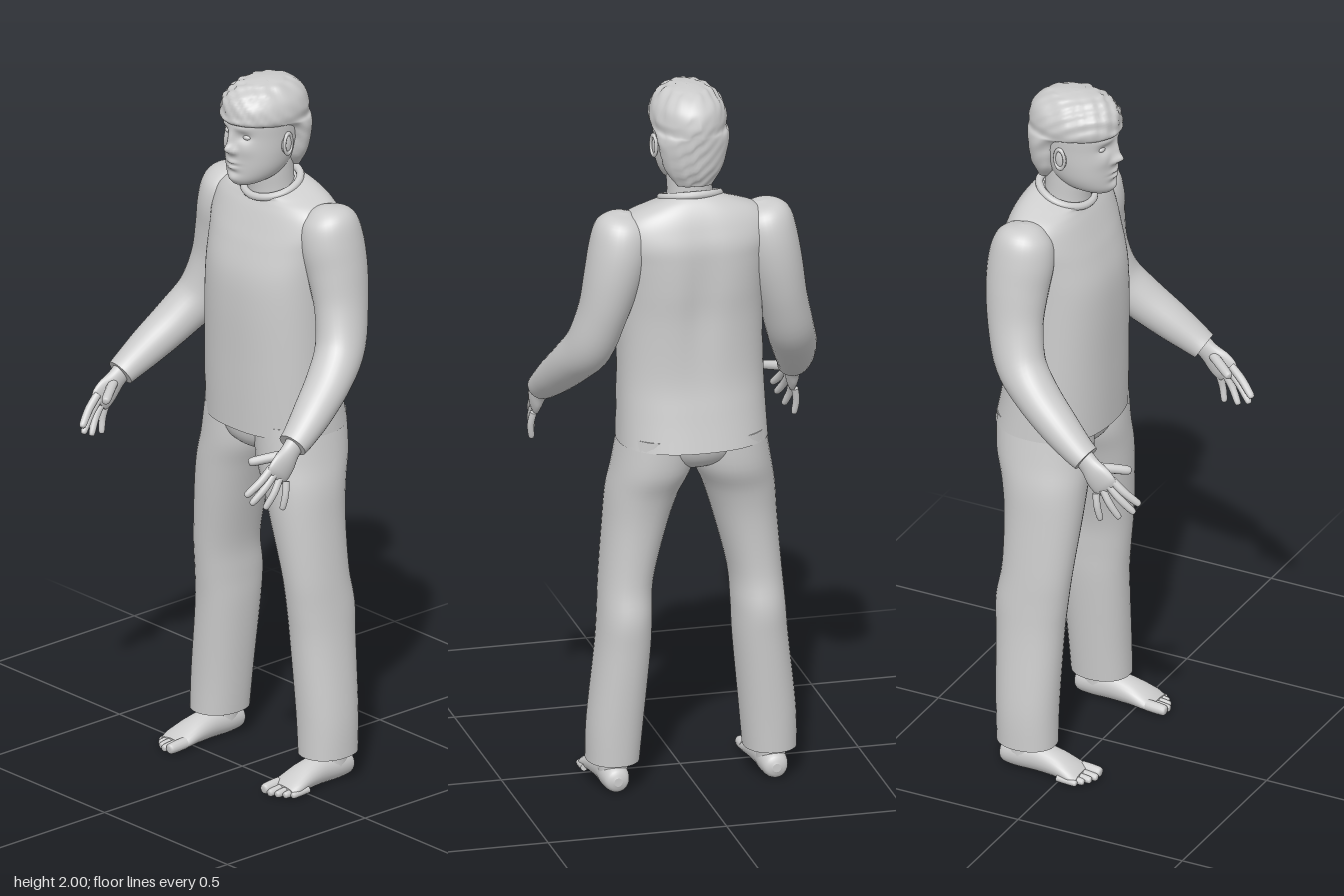
import * as THREE from 'three';

const clay = new THREE.MeshStandardMaterial({ color: 0xcccccc });
clay.name = 'clay grey';

// Smooth interpolation through rows of numbers
function smoothRows(rows, steps) {
  const out = [], last = rows.length - 1;
  for (let k = 0; k <= last * steps; k++) {
    const i = Math.min(Math.floor(k / steps), last - 1), t = k / steps - i;
    const a = rows[Math.max(i - 1, 0)], b = rows[i], c = rows[i + 1], d = rows[Math.min(i + 2, last)];
    out.push(b.map((v, n) => v + 0.5 * t * (c[n] - a[n] + t * (2 * a[n] - 5 * v + 4 * c[n] - d[n]
      + t * (3 * (v - c[n]) + d[n] - a[n])))));
  }
  return out;
}

// Skin over cross-sections [x, y, z, half width, half depth, tilt]; axis fixes the section plane
function skin(name, rows, { axis = null, sides = 24, steps = 5, power = 2, side = 1, warp = null } = {}) {
  const rings = smoothRows(rows.map(r => [r[0] * side, r[1], r[2], r[3], r[4], r[5] || 0]), steps);
  const pos = [], index = [];
  const at = r => new THREE.Vector3(r[0], r[1], r[2]);
  const round = v => Math.sign(v) * Math.abs(v) ** (2 / power);
  rings.forEach((r, i) => {
    const T = axis ? axis.clone()
      : at(rings[Math.min(i + 1, rings.length - 1)]).sub(at(rings[Math.max(i - 1, 0)])).normalize();
    const U = new THREE.Vector3(1, 0, 0).addScaledVector(T, -T.x).normalize();
    const V = T.clone().cross(U);
    for (let j = 0; j < sides; j++) {
      const t = j / sides * Math.PI * 2;
      const p = at(r).addScaledVector(U, round(Math.cos(t)) * r[3]).addScaledVector(V, round(Math.sin(t)) * r[4]);
      p.y -= (p.z - r[2]) * r[5];
      if (warp) warp(p);
      pos.push(p.x, p.y, p.z);
      if (i) {
        const a = (i - 1) * sides + j, b = (i - 1) * sides + (j + 1) % sides;
        index.push(a, b, b + sides, a, b + sides, a + sides);
      }
    }
  });
  // Flat end caps with their own vertices
  for (const i of [0, rings.length - 1]) {
    const base = pos.length / 3;
    for (let j = 0; j < sides; j++) pos.push(...pos.slice((i * sides + j) * 3, (i * sides + j) * 3 + 3));
    for (let j = 1; j < sides - 1; j++) {
      if (i) index.push(base, base + j, base + j + 1);
      else index.push(base, base + j + 1, base + j);
    }
  }
  const g = new THREE.BufferGeometry();
  g.setAttribute('position', new THREE.Float32BufferAttribute(pos, 3));
  g.setIndex(index);
  g.computeVertexNormals();
  const mesh = new THREE.Mesh(g, clay);
  mesh.name = name;
  return mesh;
}

// Finger or toe with a rounded tip
function digit(name, a, b, c, r, side) {
  const tip = c.map((v, i) => v + (v - b[i]) * 0.16);
  return skin(name, [[...a, r, r], [...b, r, r], [...c, r * 0.85, r * 0.85], [...tip, r * 0.2, r * 0.2]],
    { side, sides: 12, steps: 4 });
}

function ball(name, x, y, z, sx, sy, sz) {
  const m = new THREE.Mesh(new THREE.SphereGeometry(1, 20, 14), clay);
  m.position.set(x, y, z);
  m.scale.set(sx, sy, sz);
  m.name = name;
  return m;
}

const UP = new THREE.Vector3(0, 1, 0), DOWN = new THREE.Vector3(0, -1, 0), FRONT = new THREE.Vector3(0, 0, 1);
const bell = (x, s) => Math.exp(-x * x / (s * s));
// Horizontal section from its back and front z
const slab = (y, back, front, hw, tilt = 0, x = 0) => [x, y, (back + front) / 2, hw, (front - back) / 2, tilt];

function makeHead() {
  const head = new THREE.Group();
  head.name = 'head';
  // Face relief: [x, y, push, width, height]
  const relief = [[0, 1.818, 0.022, 0.014, 0.014], [0, 1.845, 0.013, 0.011, 0.025], [0.016, 1.812, 0.007, 0.008, 0.008],
    [0.036, 1.856, -0.011, 0.018, 0.013], [0.034, 1.882, 0.004, 0.024, 0.008], [0.045, 1.82, 0.004, 0.02, 0.02],
    [0, 1.779, 0.007, 0.02, 0.006], [0, 1.763, 0.007, 0.017, 0.006], [0, 1.771, -0.004, 0.022, 0.003],
    [0, 1.748, -0.004, 0.022, 0.007], [0, 1.729, 0.005, 0.02, 0.012]];
  head.add(skin('face', [
    slab(1.706, -0.03, 0.012, 0.015), slab(1.712, -0.07, 0.026, 0.036), slab(1.73, -0.12, 0.036, 0.06),
    slab(1.76, -0.15, 0.038, 0.077), slab(1.8, -0.17, 0.039, 0.086), slab(1.85, -0.19, 0.039, 0.091),
    slab(1.9, -0.2, 0.04, 0.094), slab(1.94, -0.19, 0.028, 0.084), slab(1.97, -0.14, -0.02, 0.05),
  ], { axis: UP, sides: 96, steps: 9, warp: p => {
    if (p.z > -0.03) for (const [x, y, d, sx, sy] of relief)
      p.z += d * bell(Math.abs(p.x) - x, sx) * bell(p.y - y, sy);
  } }));
  // Short hair with a raised fringe and uneven surface
  head.add(skin('hair', [
    slab(1.735, -0.185, -0.13, 0.05), slab(1.78, -0.203, -0.095, 0.08), slab(1.84, -0.211, -0.085, 0.095),
    slab(1.875, -0.214, -0.05, 0.1), slab(1.89, -0.215, 0.042, 0.102), slab(1.915, -0.214, 0.049, 0.104),
    slab(1.95, -0.203, 0.042, 0.094), slab(1.98, -0.172, 0.012, 0.068), slab(1.993, -0.135, -0.025, 0.04),
    slab(1.998, -0.09, -0.07, 0.008),
  ], { axis: UP, sides: 64, steps: 6, warp: p => {
    const n = 0.0025 * Math.sin(p.x * 130 + p.y * 60) * Math.sin(p.z * 110 - p.y * 90);
    p.x += Math.sign(p.x) * n;
    p.z += n;
    p.y += p.y < 1.99 ? n : 0;
  } }));
  // Loose strands lying over the crown
  const strands = new THREE.Group();
  strands.name = 'hairStrands';
  let seed = 7;
  const rand = () => (seed = (seed * 16807) % 2147483647) / 2147483647;
  const onHair = (a, e) => [0.1 * Math.cos(e) * Math.cos(a), 1.89 + 0.107 * Math.sin(e),
    -0.083 + 0.126 * Math.cos(e) * Math.sin(a)];
  for (let i = 0; i < 45; i++) {
    const a = rand() * 6.28, e = 0.5 + rand() * 0.85, turn = rand() * 0.5 - 0.25;
    strands.add(skin('strand', [[...onHair(a, e), 0.002, 0.002], [...onHair(a + turn / 2, e - 0.1), 0.004, 0.004],
      [...onHair(a + turn, e - 0.22), 0.001, 0.001]], { sides: 6, steps: 2 }));
  }
  head.add(strands);
  for (const s of [1, -1]) {
    head.add(ball('eye', s * 0.036, 1.855, 0.015, 0.014, 0.008, 0.01));
    head.add(ball('earLobe', s * 0.09, 1.825, -0.08, 0.008, 0.027, 0.017));
    const rim = new THREE.Mesh(new THREE.TorusGeometry(0.022, 0.005, 10, 28), clay);
    rim.name = 'earRim';
    rim.position.set(s * 0.095, 1.828, -0.082);
    rim.rotation.y = Math.PI / 2 + s * 0.2;
    rim.scale.set(0.75, 1.3, 1);
    head.add(rim);
  }
  head.add(skin('neck', [[0, 1.62, -0.112, 0.07, 0.07], [0, 1.68, -0.105, 0.063, 0.066], [0, 1.73, -0.1, 0.062, 0.068],
    [0, 1.78, -0.1, 0.062, 0.07]], { axis: UP, sides: 32 }));
  return head;
}

function makeHand(s) {
  const hand = new THREE.Group();
  hand.name = s > 0 ? 'leftHand' : 'rightHand';
  hand.add(skin('palm', [[0.35, 1.095, 0.11, 0.026, 0.03], [0.354, 1.065, 0.142, 0.021, 0.031],
    [0.358, 1.04, 0.168, 0.018, 0.041], [0.359, 1.018, 0.19, 0.014, 0.042], [0.358, 1.006, 0.202, 0.007, 0.034]], { side: s }));
  const fingers = [[[0.354, 1.037, 0.21], [0.335, 0.972, 0.28]], [[0.358, 1.02, 0.202], [0.343, 0.948, 0.268]],
    [[0.362, 1.003, 0.187], [0.354, 0.928, 0.23]], [[0.366, 0.99, 0.168], [0.368, 0.917, 0.182]]];
  fingers.forEach(([a, b], i) => {
    const mid = a.map((v, n) => (v + b[n]) / 2 + (n ? 0 : 0.005));
    hand.add(digit('finger', a, mid, b, 0.0115 - i * 0.0006, s));
  });
  hand.add(digit('thumb', [0.35, 1.06, 0.155], [0.318, 1.05, 0.2], [0.295, 1.042, 0.232], 0.0135, s));
  return hand;
}

function makeFoot(s) {
  const foot = new THREE.Group();
  foot.name = s > 0 ? 'leftFoot' : 'rightFoot';
  const ground = p => { p.y = Math.max(p.y, 0); };
  foot.add(skin('sole', [[0.222, 0.035, -0.192, 0.012, 0.012], [0.222, 0.036, -0.18, 0.032, 0.032],
    [0.222, 0.04, -0.14, 0.04, 0.042], [0.222, 0.04, -0.08, 0.04, 0.042], [0.223, 0.033, -0.02, 0.045, 0.035],
    [0.225, 0.021, 0.03, 0.05, 0.023], [0.224, 0.015, 0.055, 0.044, 0.012]], { axis: FRONT, side: s, warp: ground }));
  foot.add(skin('ankle', [[0.22, 0.14, -0.13, 0.042, 0.046], [0.221, 0.09, -0.128, 0.04, 0.046],
    [0.222, 0.04, -0.125, 0.04, 0.052]], { axis: DOWN, side: s }));
  [[0.192, 0.092, 0.016], [0.215, 0.092, 0.0115], [0.235, 0.083, 0.011], [0.253, 0.07, 0.0105], [0.268, 0.055, 0.01]]
    .forEach(([x, z, r]) => foot.add(digit('toe', [x, r + 0.004, z - 0.055], [x, r + 0.002, z - 0.025], [x, r, z], r, s)));
  return foot;
}

export function createModel() {
  const man = new THREE.Group();
  man.name = 'standingMan';
  man.add(makeHead());

  // Long-sleeved shirt with a hollow along the spine
  man.add(skin('shirtBody', [
    slab(1.0, -0.285, 0.038, 0.207), slab(1.1, -0.265, 0.04, 0.203), slab(1.2, -0.25, 0.041, 0.2),
    slab(1.35, -0.25, 0.042, 0.198), slab(1.45, -0.256, 0.035, 0.2), slab(1.53, -0.256, 0.012, 0.208),
    slab(1.58, -0.252, -0.008, 0.217), slab(1.625, -0.238, -0.028, 0.21), slab(1.655, -0.222, -0.04, 0.18, 0.08),
    slab(1.675, -0.203, -0.044, 0.13, 0.2), slab(1.685, -0.184, -0.035, 0.088, 0.3),
  ], { axis: UP, sides: 64, steps: 6, power: 2.35, warp: p => {
    if (p.z < -0.15) p.z += 0.016 * bell(p.x, 0.045) * bell(p.y - 1.42, 0.17);
  } }));
  const neckline = [];
  for (let i = 0; i < 24; i++) {
    const t = i / 24 * Math.PI * 2, z = Math.sin(t) * 0.073;
    neckline.push(new THREE.Vector3(Math.cos(t) * 0.08, 1.686 - z * 0.34, -0.109 + z));
  }
  const collar = new THREE.Mesh(
    new THREE.TubeGeometry(new THREE.CatmullRomCurve3(neckline, true), 64, 0.011, 10, true), clay);
  collar.name = 'collar';
  man.add(collar);

  // Trouser seat joining the legs
  man.add(skin('trouserSeat', [slab(1.04, -0.255, 0.015, 0.195), slab(1.0, -0.262, 0.018, 0.2),
    slab(0.96, -0.245, 0.008, 0.15), slab(0.935, -0.21, -0.02, 0.085), slab(0.915, -0.16, -0.07, 0.03)],
    { axis: UP.clone().negate(), sides: 40 }));

  for (const s of [1, -1]) {
    const tag = s > 0 ? 'left' : 'right';
    man.add(skin(tag + 'TrouserLeg', [
      slab(1.03, -0.26, 0.018, 0.1, 0, 0.1), slab(0.93, -0.253, 0.018, 0.107, 0, 0.111), slab(0.85, -0.226, 0.016, 0.098, 0, 0.135),
      slab(0.75, -0.21, 0.01, 0.086, 0, 0.155), slab(0.6, -0.206, -0.004, 0.073, 0, 0.18), slab(0.5, -0.221, -0.015, 0.073, 0, 0.187),
      slab(0.4, -0.217, -0.024, 0.075, 0, 0.193), slab(0.2, -0.206, -0.03, 0.077, 0, 0.213), slab(0.082, -0.2, -0.03, 0.073, 0, 0.22),
    ], { axis: DOWN, sides: 36, side: s, power: 2.15 }));
    man.add(skin(tag + 'Sleeve', [
      [0.19, 1.664, -0.135, 0.012, 0.012], [0.192, 1.652, -0.135, 0.05, 0.05], [0.198, 1.62, -0.137, 0.076, 0.08],
      [0.208, 1.56, -0.14, 0.083, 0.092], [0.227, 1.48, -0.143, 0.078, 0.088], [0.252, 1.38, -0.135, 0.068, 0.078],
      [0.28, 1.28, -0.105, 0.066, 0.071], [0.308, 1.21, -0.04, 0.064, 0.06], [0.332, 1.145, 0.04, 0.056, 0.052],
      [0.346, 1.1, 0.1, 0.047, 0.043], [0.35, 1.08, 0.13, 0.043, 0.038],
    ], { sides: 32, side: s }));
    man.add(makeHand(s), makeFoot(s));
  }
  return man;
}
